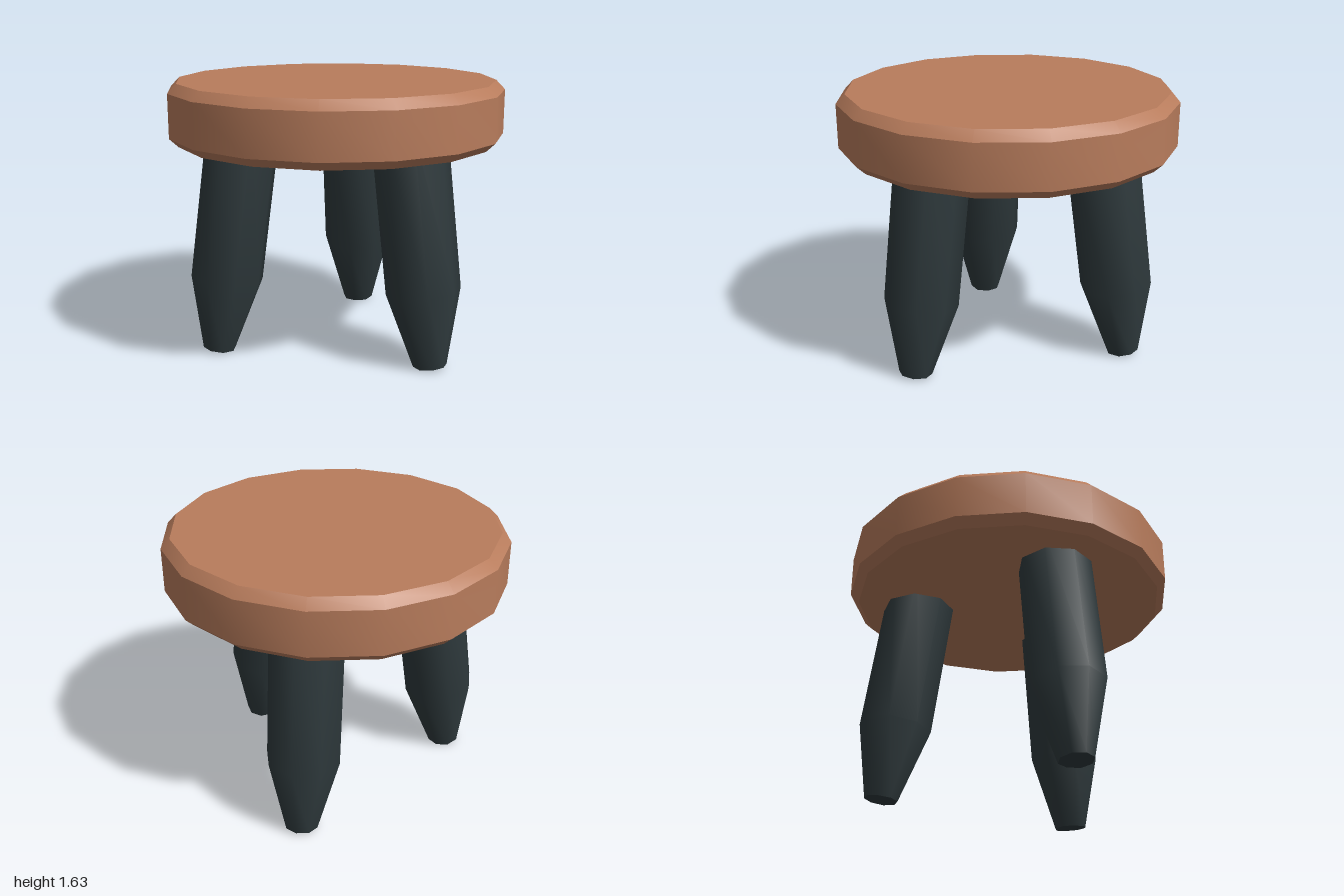
import * as THREE from 'three';
import { toCreasedNormals } from 'three/addons/utils/BufferGeometryUtils.js';

const rad = THREE.MathUtils.degToRad;

// Faceted solid turned from a [radius, height] profile, listed bottom to top.
function turned(profile, sides, startAngle = 0) {
  const points = profile.map(([r, y]) => new THREE.Vector2(r, y));
  return new THREE.LatheGeometry(points, sides, startAngle);
}

export function createModel() {
  const model = new THREE.Group();
  model.name = 'stool';
  const wood = new THREE.MeshStandardMaterial({ color: 0xb87c5c });
  const dark = new THREE.MeshStandardMaterial({ color: 0x2f3a3d });

  // Sixteen-sided seat with chamfered rims
  const seatGeometry = turned(
    [[0, 1.27], [0.952, 1.27], [1.005, 1.32], [1.005, 1.58], [0.952, 1.635], [0, 1.635]],
    16, rad(7.4));
  const seat = new THREE.Mesh(toCreasedNormals(seatGeometry, rad(35)), wood);
  seat.name = 'seat';
  model.add(seat);

  // Octagonal leg, tapered at the foot and splayed outwards
  const legGeometry = turned([[0, 0], [0.1, 0], [0.22, 0.455], [0.22, 1.4], [0, 1.4]], 8);
  legGeometry.rotateX(rad(-7.7)).translate(0, 0.007, 0.75);

  // Level the part of the foot that would sink below the floor
  const position = legGeometry.attributes.position;
  for (let i = 0; i < position.count; i++) {
    position.setY(i, Math.max(0, position.getY(i)));
  }
  const legShape = toCreasedNormals(legGeometry, rad(55));

  // Three legs, evenly spaced around the seat
  [['leftFrontLeg', 60], ['backLeg', 180], ['rightFrontLeg', 300]].forEach(([name, angle]) => {
    const leg = new THREE.Mesh(legShape, dark);
    leg.name = name;
    leg.rotation.y = rad(angle);
    model.add(leg);
  });

  return model;
}
